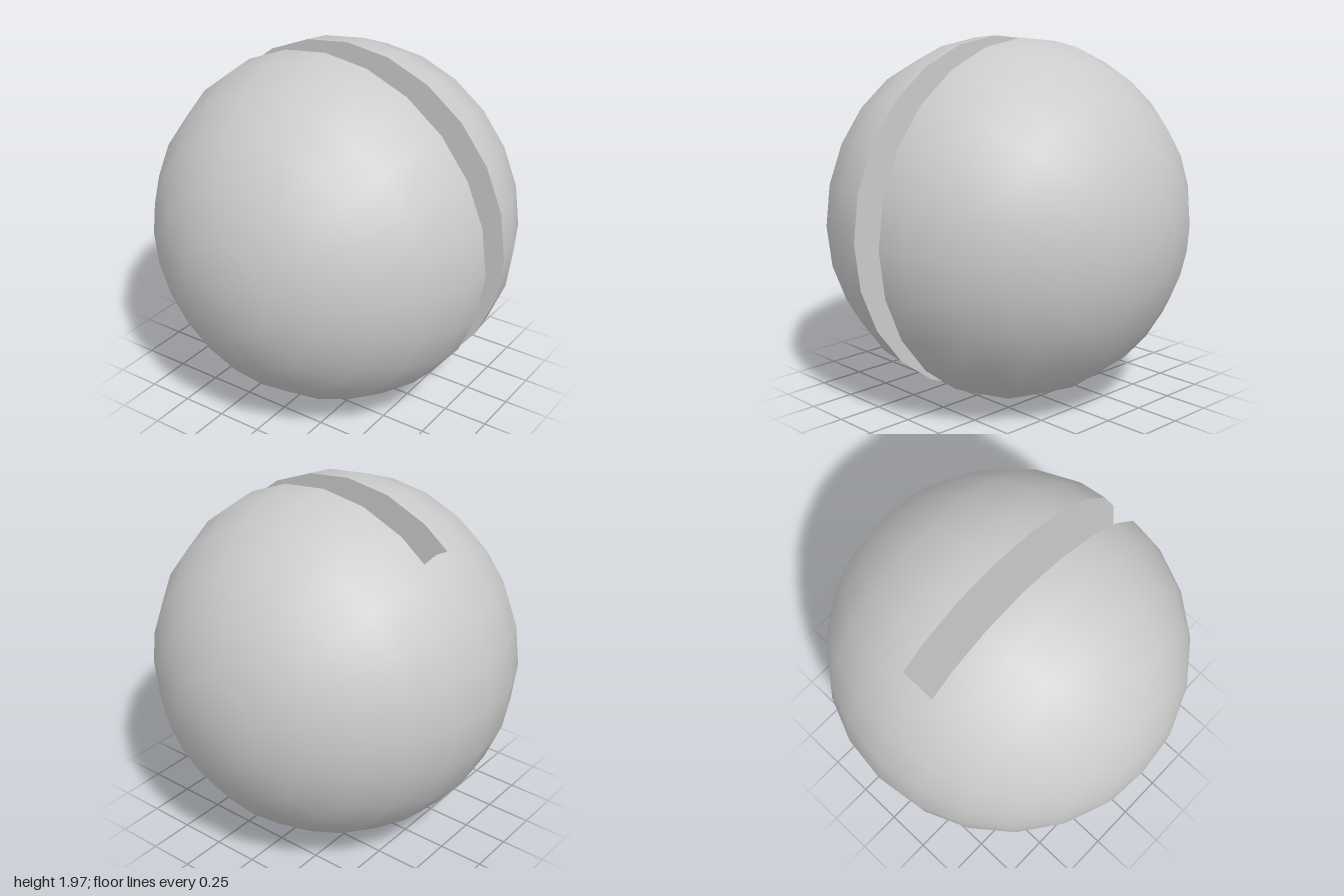
import * as THREE from 'three';

const STEP = Math.PI / 12;   // 24-sided sphere
const SLOT = 0.1;            // half width of the slot
const FLOOR = -0.634;        // x where the slot ends
const RIM = 1 - (1 - Math.cos(STEP)) * SLOT / Math.sin(STEP); // radius at the slot walls

// Smooth sphere normals
function roundNormals(geometry) {
  const p = geometry.attributes.position, v = new THREE.Vector3();
  for (let i = 0; i < p.count; i++) {
    v.fromBufferAttribute(p, i).normalize();
    geometry.attributes.normal.setXYZ(i, v.x, v.y, v.z);
  }
  return geometry;
}

// Point where a 24-gon of radius r crosses the slot floor (upper half)
function floorHit(r) {
  const a = new THREE.Vector2(Math.cos(8 * STEP), Math.sin(8 * STEP)).multiplyScalar(r);
  const b = new THREE.Vector2(Math.cos(9 * STEP), Math.sin(9 * STEP)).multiplyScalar(r);
  return a.lerp(b, (FLOOR - a.x) / (b.x - a.x));
}

export function createModel() {
  const material = new THREE.MeshStandardMaterial({ color: 0xcccccc });
  const ball = new THREE.Group();
  ball.name = 'slottedBall';
  const add = (parent, name, geometry) => {
    const mesh = new THREE.Mesh(geometry, material);
    mesh.name = name;
    parent.add(mesh);
  };

  // Two halves: rounded cap and the flat wall facing the slot
  const profile = [new THREE.Vector2(RIM, SLOT)];
  for (let i = 1; i <= 6; i++) {
    profile.push(new THREE.Vector2(i === 6 ? 0 : Math.cos(i * STEP), Math.sin(i * STEP)));
  }
  const cap = roundNormals(new THREE.LatheGeometry(profile, 24).rotateX(Math.PI / 2));

  const hit = floorHit(RIM);
  const outline = [new THREE.Vector2(hit.x, -hit.y)];
  for (let i = -8; i <= 8; i++) {
    outline.push(new THREE.Vector2(Math.cos(i * STEP) * RIM, Math.sin(i * STEP) * RIM));
  }
  outline.push(hit);
  const wall = new THREE.ShapeGeometry(new THREE.Shape(outline)).rotateX(Math.PI).translate(0, 0, SLOT);

  for (const side of ['front', 'back']) {
    const half = new THREE.Group();
    half.name = side + 'Half';
    add(half, side + 'Cap', cap);
    add(half, side + 'SlotWall', wall);
    if (side === 'back') half.rotation.x = Math.PI;
    ball.add(half);
  }

  // Outer band joining the halves beyond the slot
  const rows = [[-SLOT, RIM], [0, 1], [SLOT, RIM]];
  const positions = [], index = [];
  const columns = 9;
  for (const [z, r] of rows) {
    const h = floorHit(r);
    positions.push(h.x, h.y, z);
    for (let i = 9; i <= 15; i++) positions.push(Math.cos(i * STEP) * r, Math.sin(i * STEP) * r, z);
    positions.push(h.x, -h.y, z);
  }
  for (let j = 0; j < 2; j++) {
    for (let i = 0; i < columns - 1; i++) {
      const a = j * columns + i, b = a + 1, c = a + columns, d = c + 1;
      index.push(a, b, d, a, d, c);
    }
  }
  const band = new THREE.BufferGeometry();
  band.setAttribute('position', new THREE.Float32BufferAttribute(positions, 3));
  band.setIndex(index);
  band.computeVertexNormals();
  add(ball, 'joiningBand', roundNormals(band));

  // Flat end of the slot, slightly peaked in the middle
  const peak = floorHit(1).y;
  const end = new THREE.Shape([[-SLOT, -hit.y], [0, -peak], [SLOT, -hit.y],
    [SLOT, hit.y], [0, peak], [-SLOT, hit.y]].map(([x, y]) => new THREE.Vector2(x, y)));
  add(ball, 'slotEnd', new THREE.ShapeGeometry(end).rotateY(Math.PI / 2).translate(FLOOR, 0, 0));

  ball.position.set((1 - RIM) / 2, RIM, 0);
  const model = new THREE.Group();
  model.name = 'model';
  model.add(ball);
  return model;
}
